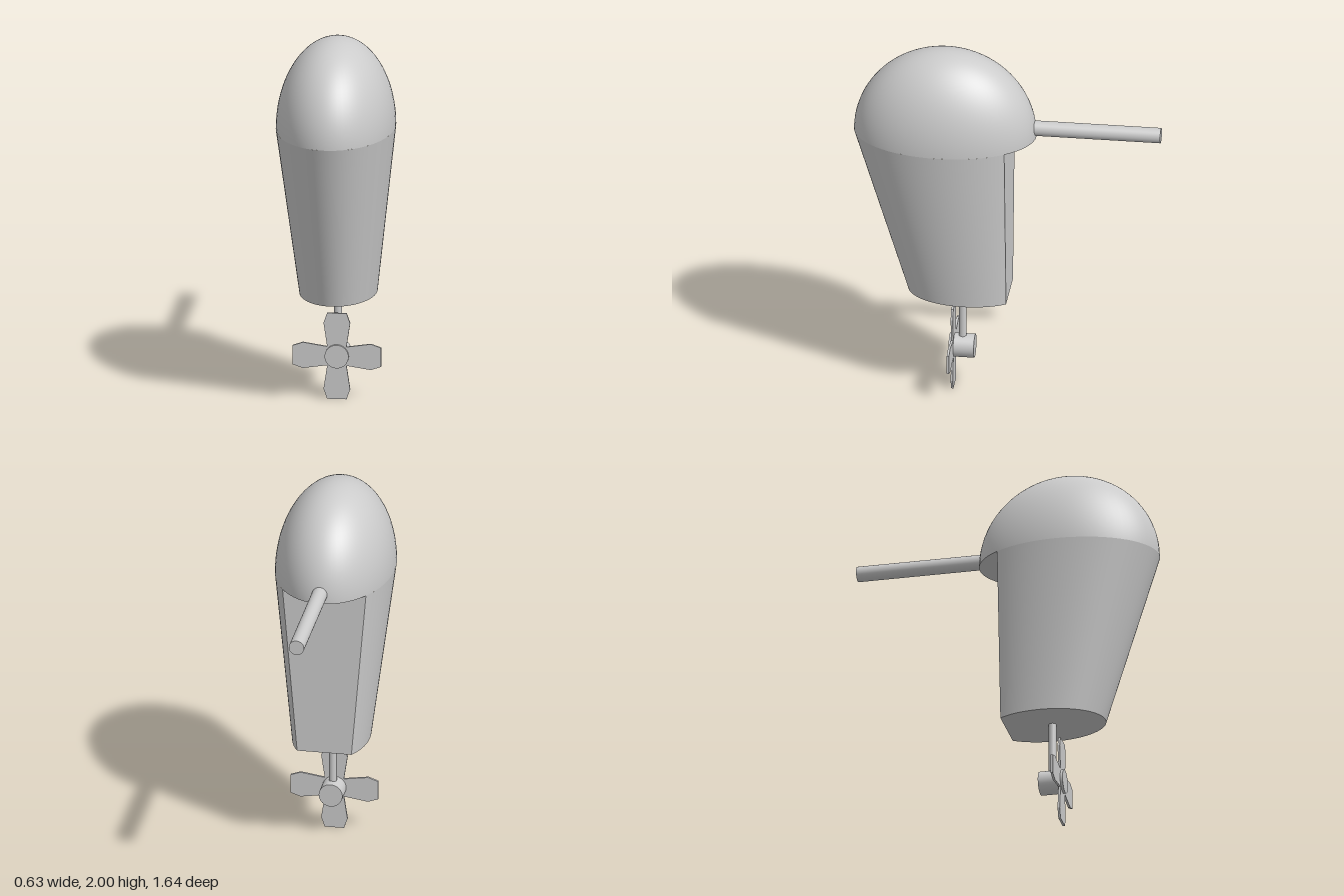
import * as THREE from 'three';

const material = new THREE.MeshStandardMaterial({ color: 0xcccccc });

// Cowl dimensions: elliptical section, tapering towards a flat back plane
const RX = 0.317, RZ = 0.487, CENTRE_Z = 0.333;
const BASE_Y = 1.515, BOTTOM_Y = 0.575, TAPER = 0.65;
const CUT = 0.704;                 // back plane position on the unit circle
const BACK_Z = CENTRE_Z - CUT * RZ;
const HALF_ARC = Math.acos(-CUT);

function add(group, name, geometry, x = 0, y = 0, z = 0) {
  const mesh = new THREE.Mesh(geometry, material);
  mesh.name = name;
  mesh.position.set(x, y, z);
  group.add(mesh);
  return mesh;
}

function createDome() {
  const dome = new THREE.Group();
  dome.name = 'cowlDome';
  add(dome, 'domeShell', new THREE.SphereGeometry(1, 64, 24, 0, Math.PI * 2, 0, Math.PI / 2)
    .scale(RX, 2 - BASE_Y, RZ), 0, BASE_Y, CENTRE_Z);
  add(dome, 'domeUnderside', new THREE.CircleGeometry(1, 64)
    .rotateX(Math.PI / 2).scale(RX, 1, RZ), 0, BASE_Y, CENTRE_Z);
  return dome;
}

function createHousing() {
  const housing = new THREE.Group();
  housing.name = 'housing';
  const height = BASE_Y - BOTTOM_Y;

  // Curved wall: partial cone, sheared so its back edges stay in one plane
  const wall = new THREE.CylinderGeometry(1, TAPER, height, 64, 6, true, -HALF_ARC, 2 * HALF_ARC);
  const p = wall.attributes.position;
  for (let i = 0; i < p.count; i++) {
    const k = TAPER + (1 - TAPER) * (p.getY(i) / height + 0.5);
    p.setXYZ(i, p.getX(i) * RX, p.getY(i), (p.getZ(i) + CUT * k) * RZ);
  }
  wall.computeVertexNormals();
  add(housing, 'curvedWall', wall, 0, (BASE_Y + BOTTOM_Y) / 2, BACK_Z);

  // Flat trapezoid back
  const w = RX * Math.sin(HALF_ARC);
  const back = new THREE.Shape([
    new THREE.Vector2(-w * TAPER, 0), new THREE.Vector2(w * TAPER, 0),
    new THREE.Vector2(w, height), new THREE.Vector2(-w, height),
  ]);
  add(housing, 'backPanel', new THREE.ShapeGeometry(back).rotateY(Math.PI), 0, BOTTOM_Y, BACK_Z);

  // Bottom: ellipse with its back cut off
  const base = new THREE.Shape();
  base.absarc(0, 0, 1, Math.PI / 2 - HALF_ARC, Math.PI / 2 + HALF_ARC, false);
  add(housing, 'bottomPanel', new THREE.ShapeGeometry(base, 64)
    .translate(0, CUT, 0).rotateX(Math.PI / 2).scale(RX * TAPER, 1, RZ * TAPER), 0, BOTTOM_Y, BACK_Z);
  return housing;
}

function createPropeller() {
  const propeller = new THREE.Group();
  propeller.name = 'propeller';
  propeller.position.set(0, 0.237, 0);
  add(propeller, 'hub', new THREE.CylinderGeometry(0.064, 0.064, 0.135, 32).rotateX(Math.PI / 2), 0, 0, 0.242);

  // Four flared blades with clipped tips
  const blade = new THREE.Shape([
    [-0.046, 0], [0.046, 0], [0.052, 0.055], [0.071, 0.182],
    [0.052, 0.236], [-0.052, 0.236], [-0.071, 0.182], [-0.052, 0.055],
  ].map(([x, y]) => new THREE.Vector2(x, y)));
  const geometry = new THREE.ExtrudeGeometry(blade, { depth: 0.012, bevelEnabled: false });
  for (let i = 0; i < 4; i++) {
    add(propeller, 'blade', geometry, 0, 0, 0.284).rotation.z = i * Math.PI / 2;
  }
  return propeller;
}

export function createModel() {
  const model = new THREE.Group();
  model.name = 'outboardMotor';
  model.add(createDome(), createHousing(), createPropeller());

  // Drive shaft from the housing down to the hub
  add(model, 'driveShaft', new THREE.CylinderGeometry(0.021, 0.021, 0.35, 24), 0, 0.415, 0.24);

  // Steering handle reaching backwards
  add(model, 'steeringHandle', new THREE.CylinderGeometry(0.041, 0.041, 0.72, 32).rotateX(Math.PI / 2),
    0, 1.566, -0.46);
  return model;
}
